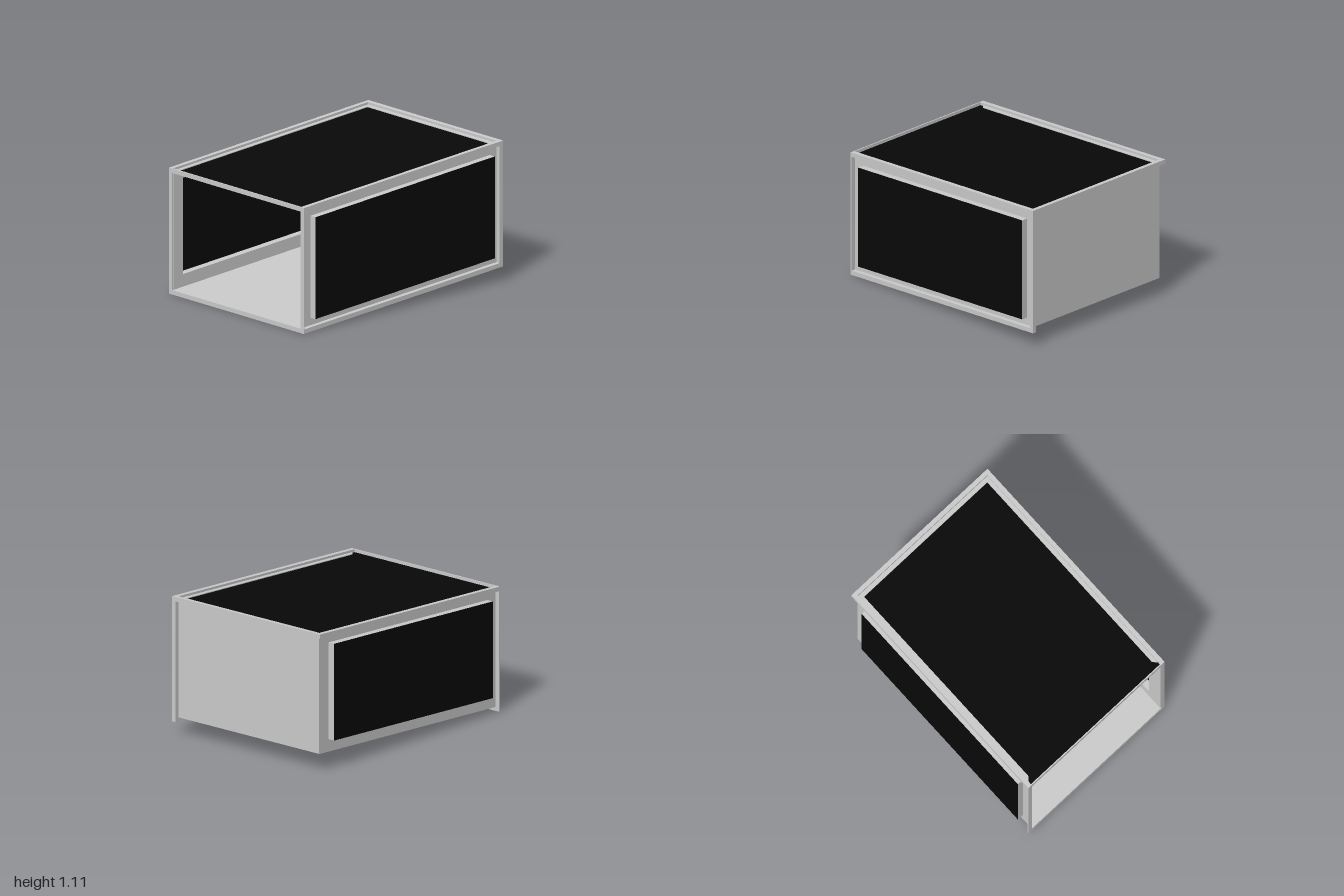
import * as THREE from 'three';

// Slanted open-fronted case: built upright, then sheared along z.
const W = 0.7175, H = 0.99, T = 0.035;   // half width, height, bar section
const IN = W - T;                        // wall plane on both sides
const COVER = 0.737;                     // outer plane of the side covers
const SKIN = 0.004;

const shear = new THREE.Matrix4().set(
  1, 0, -0.055, 0,
  0, 1, -0.0575, 0.0575,
  0, 0, 1, 0,
  0, 0, 0, 1);

export function createModel() {
  const model = new THREE.Group();
  const grey = new THREE.MeshStandardMaterial({ color: 0xcccccc, side: THREE.DoubleSide });
  const black = new THREE.MeshStandardMaterial({ color: 0x080808, side: THREE.DoubleSide });

  const add = (name, geometry, material = grey) => {
    const mesh = new THREE.Mesh(geometry.applyMatrix4(shear), material);
    mesh.name = name;
    model.add(mesh);
  };

  // Box given by its two opposite corners
  const box = (name, x0, x1, y0, y1, z0, z1, material) => {
    const g = new THREE.BoxGeometry(x1 - x0, y1 - y0, z1 - z0);
    g.translate((x0 + x1) / 2, (y0 + y1) / 2, (z0 + z1) / 2);
    add(name, g, material);
  };

  const rect = (Type, [a0, a1, b0, b1]) => new Type([
    new THREE.Vector2(a0, b0), new THREE.Vector2(a1, b0),
    new THREE.Vector2(a1, b1), new THREE.Vector2(a0, b1)]);

  // Rectangular ring with a rectangular opening, extruded along +z
  const ring = (outer, inner, depth) => {
    const shape = rect(THREE.Shape, outer);
    shape.holes.push(rect(THREE.Path, inner));
    return new THREE.ExtrudeGeometry(shape, { depth, bevelEnabled: false });
  };

  // The same ring standing in the z-y plane between x0 and x1
  const sideRing = (name, outer, inner, x0, x1) =>
    add(name, ring(outer, inner, x1 - x0).rotateY(-Math.PI / 2).translate(x1, 0, 0));

  // Front frame
  add('frontFrame', ring([-W, W, 0, H], [-IN, IN, T, H - T], 0.01).translate(0, 0, 0.99));

  // Edge bars along the top and the right-hand side
  box('topBarPlusX', IN, W, H - T, H, -1, 0.99);
  box('topBarMinusX', -W, -IN, H - T, H, -1, 0.99);
  box('topBarBack', -IN, IN, H - T, H, -1, -1 + T);
  box('bottomBarPlusX', IN, W, 0, T, -1, 0.99);
  box('backPostPlusX', IN, W, T, H - T, -1, -1 + T);

  // Floor and back wall
  box('floor', -IN, IN, T - SKIN, T, -1 + T, 0.99);
  box('backWall', -IN, IN, T, H - T, -1 + T - SKIN, -1 + T);

  // Side walls with a raised, open-backed box closed by a dark cover
  const sides = [
    { name: 'PlusX', s: 1, outer: [-0.9, 0.9, 0.095, 0.895], rim: T },
    { name: 'MinusX', s: -1, outer: [-0.865, 0.9, 0.13, 0.895], rim: SKIN },
  ];
  for (const { name, s, outer, rim } of sides) {
    const span = (a, b) => (s > 0 ? [a, b] : [-b, -a]);
    const [z0, z1, y0, y1] = outer;
    const inner = [z0 + rim, z1 - rim, y0 + rim, y1 - rim];
    sideRing('sideWall' + name, [-1 + T, 0.99, T, H - T], inner, ...span(IN - SKIN, IN));
    sideRing('panelRim' + name, outer, inner, ...span(IN, COVER - 0.002));
    box('panelCover' + name, ...span(COVER - 0.002, COVER), y0, y1, z0, z1, black);
  }

  // Dark top sheet inside a low rim, open towards the front
  const top = 0.966, step = 0.972;
  box('topCover', -IN, IN, H - T, top, -1 + T, 0.99, black);
  box('topRimBack', -IN, IN, H - T, step, -1 + T, -0.93);
  for (const s of [-1, 1]) {
    const x = [s * 0.65, s * IN].sort((a, b) => a - b);
    // mitred at the front end
    const strip = new THREE.Shape([
      new THREE.Vector2(s * 0.65, 0.93), new THREE.Vector2(s * 0.65, -0.93),
      new THREE.Vector2(s * IN, -0.93), new THREE.Vector2(s * IN, 0.965)]);
    const g = new THREE.ExtrudeGeometry(strip, { depth: step - (H - T), bevelEnabled: false });
    g.rotateX(Math.PI / 2).translate(0, step, 0);
    add(x[0] > 0 ? 'topRimPlusX' : 'topRimMinusX', g);
  }

  return model;
}
